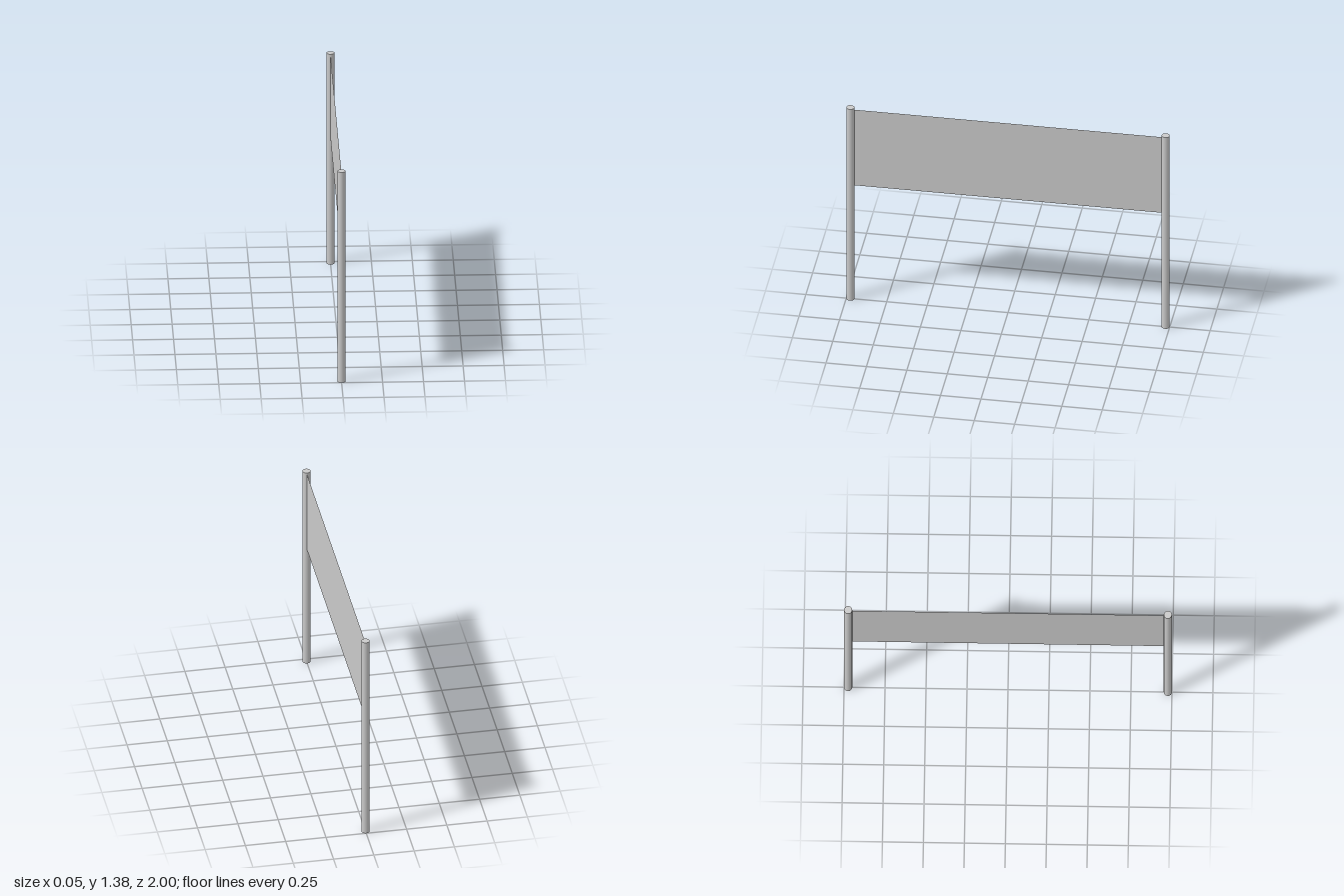
import * as THREE from 'three';

export function createModel() {
  const group = new THREE.Group();
  const material = new THREE.MeshStandardMaterial({ color: 0xcccccc });
  const sheetMaterial = new THREE.MeshStandardMaterial({ color: 0xcccccc, side: THREE.DoubleSide });

  const radius = 0.025, height = 1.38, postZ = 1 - radius;
  const sheetBottom = 0.82, sheetTop = 1.365;

  // Two round upright posts
  const postGeometry = new THREE.CylinderGeometry(radius, radius, height, 16);
  for (const [name, side] of [['frontPost', 1], ['backPost', -1]]) {
    const post = new THREE.Mesh(postGeometry, material);
    post.name = name;
    post.position.set(0, height / 2, side * postZ);
    group.add(post);
  }

  // Thin banner sheet stretched between the posts' inner faces
  const sheet = new THREE.Mesh(
    new THREE.PlaneGeometry(2 * (postZ - radius) + 0.004, sheetTop - sheetBottom),
    sheetMaterial
  );
  sheet.name = 'bannerSheet';
  sheet.rotation.y = Math.PI / 2;
  sheet.position.y = (sheetTop + sheetBottom) / 2;
  group.add(sheet);

  return group;
}
